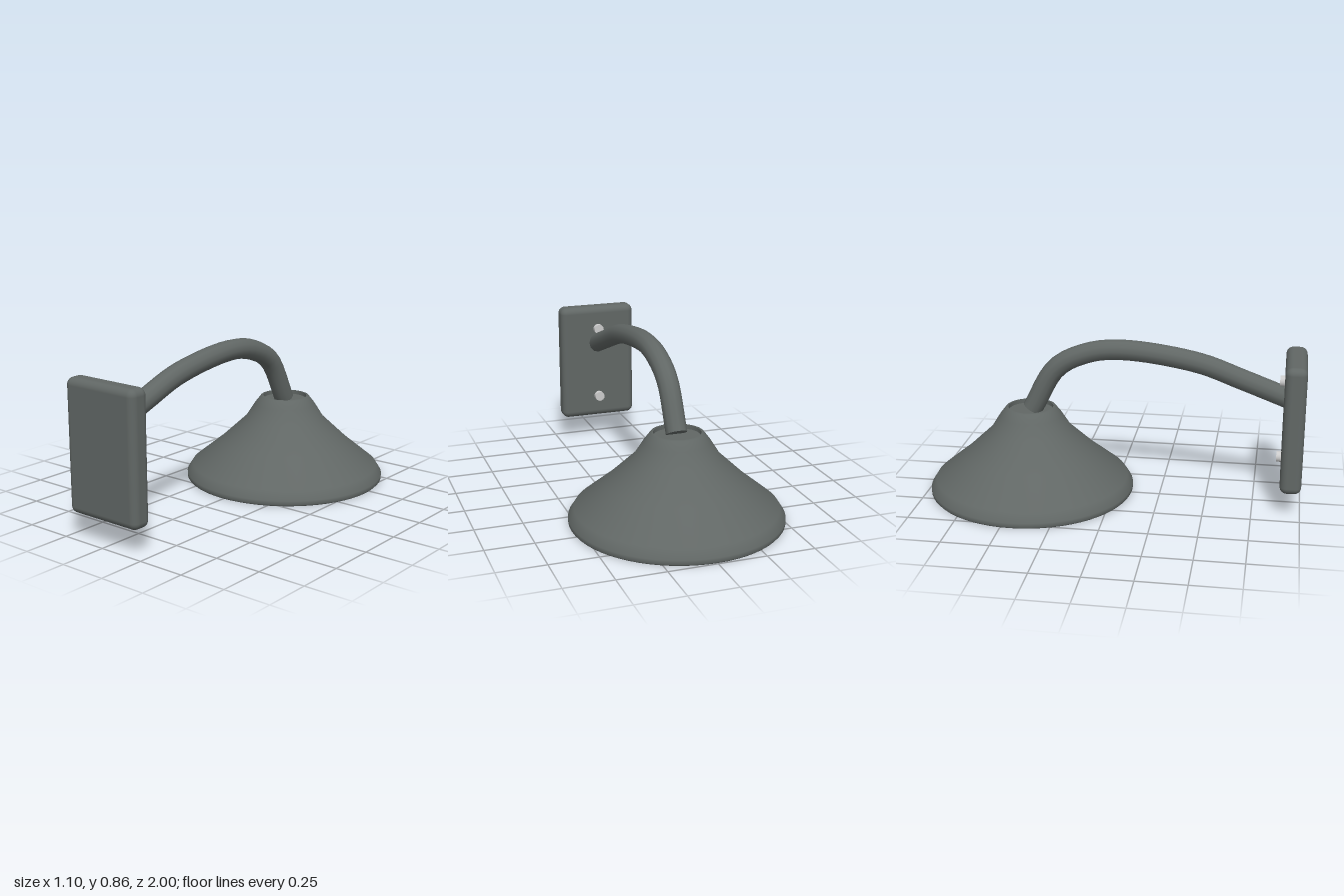
import * as THREE from 'three';
import { RoundedBoxGeometry } from 'three/addons/geometries/RoundedBoxGeometry.js';

export function createModel() {
  const lamp = new THREE.Group();
  lamp.name = 'wallLamp';

  const material = (name, color, side = THREE.FrontSide) => {
    const m = new THREE.MeshStandardMaterial({ color, side });
    m.name = name;
    return m;
  };
  const body = material('greyGreenMetal', 0x616765, THREE.DoubleSide);
  const glass = material('diffuserWhite', 0xcdcdc4);
  const steel = material('screwSteel', 0xcccccc);

  const add = (name, geometry, mat, x = 0, y = 0, z = 0, parent = lamp) => {
    const mesh = new THREE.Mesh(geometry, mat);
    mesh.name = name;
    mesh.position.set(x, y, z);
    parent.add(mesh);
    return mesh;
  };

  // Wall plate with softened edges
  add('wallPlate', new RoundedBoxGeometry(0.442, 0.676, 0.11, 4, 0.037), body, 0, 0.468, 0.945);

  // Two screw heads on the arm side of the plate
  for (const y of [0.675, 0.258]) {
    const screw = add('screw', new THREE.CylinderGeometry(0.028, 0.029, 0.026, 16), steel, 0, y, 0.878);
    screw.rotation.x = -Math.PI / 2;
  }

  // Curved gooseneck arm
  const path = new THREE.CatmullRomCurve3([
    [0.58, 0.92], [0.669, 0.68], [0.752, 0.44], [0.803, 0.04],
    [0.778, -0.14], [0.69, -0.305], [0.457, -0.44],
  ].map(([y, z]) => new THREE.Vector3(0, y, z)));
  add('arm', new THREE.TubeGeometry(path, 32, 0.055, 12), body);
  const end = path.getPoint(1);
  const cap = add('armEnd', new THREE.CircleGeometry(0.055, 12), body, end.x, end.y, end.z);
  cap.lookAt(end.clone().add(path.getTangent(1)));

  // Bell shade: each lathe is a separate smooth surface, so its edges stay crisp
  const shade = new THREE.Group();
  shade.name = 'shade';
  shade.position.z = -0.45;
  lamp.add(shade);
  const lathe = (name, profile) => add(name,
    new THREE.LatheGeometry(profile.map(([r, y]) => new THREE.Vector2(r, y)), 64), body, 0, 0, 0, shade);

  lathe('shadeOuter', [
    [0.475, 0.014], [0.543, 0], [0.55, 0.008], [0.55, 0.03], [0.52, 0.077], [0.36, 0.207],
    [0.218, 0.34], [0.168, 0.42], [0.134, 0.464], [0.12, 0.466],
  ]);
  lathe('topRecessWall', [[0.12, 0.466], [0.12, 0.445]]);
  lathe('topRecessFloor', [[0, 0.445], [0.12, 0.445]].reverse());

  // Light diffuser facing down
  const diffuser = add('diffuser', new THREE.CircleGeometry(0.48, 64), glass, 0, 0.012, 0, shade);
  diffuser.rotation.x = Math.PI / 2;

  return lamp;
}
